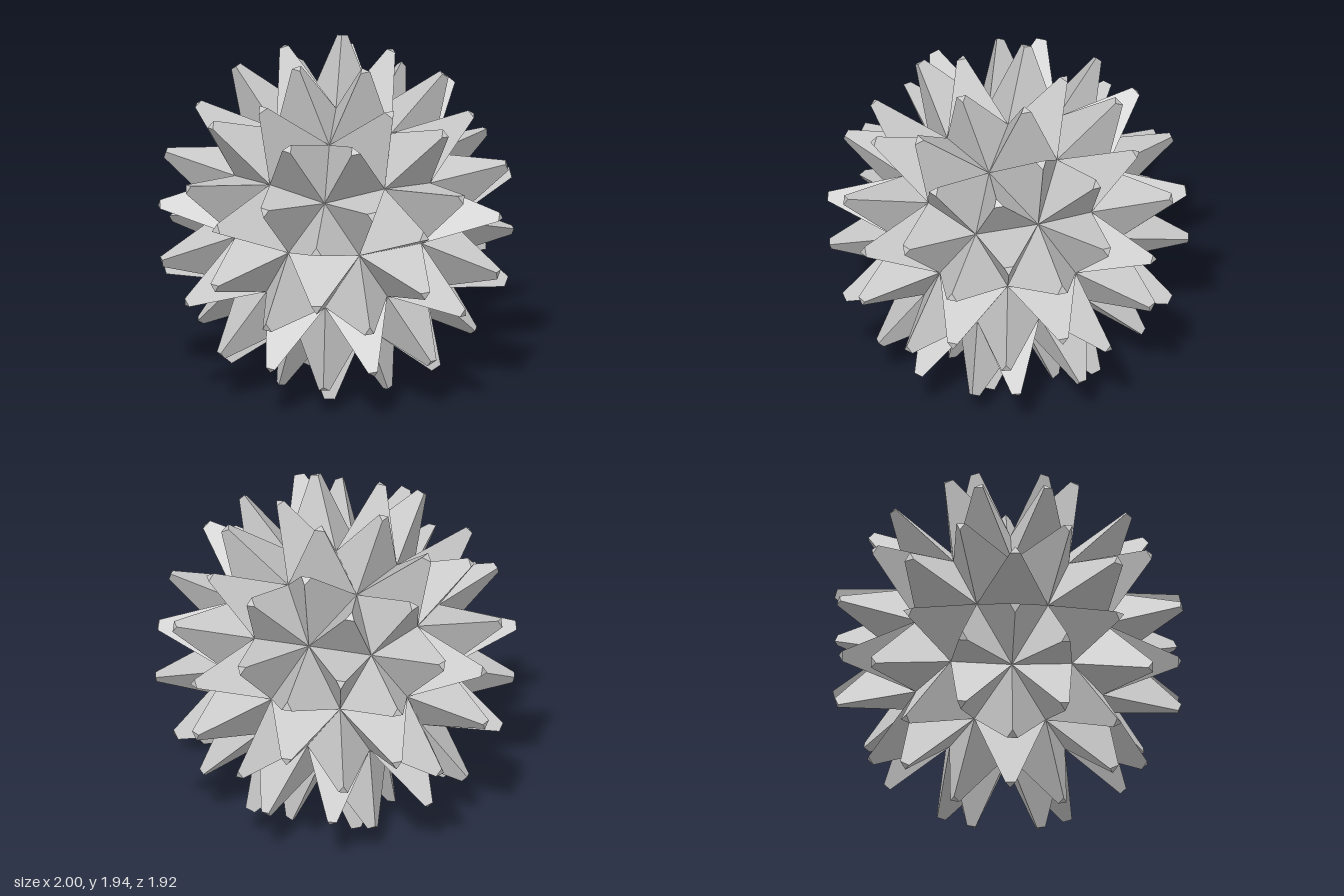
import * as THREE from 'three';

const R = 0.64;        // radius of the faceted core
const HEIGHT = 0.405;  // spike length along each face normal
const TIP = 0.15;      // tip size relative to the spike's base

// Icosahedron standing on a vertex, each face split in four
function coreGeometry() {
  const verts = [0, 1, 0];
  const ring = (lat, offset) => {
    for (let k = 0; k < 5; k++) {
      const a = (k + offset) * Math.PI * 2 / 5;
      verts.push(Math.cos(a) * 2 / Math.sqrt(5), lat, Math.sin(a) * 2 / Math.sqrt(5));
    }
  };
  ring(1 / Math.sqrt(5), 0);
  ring(-1 / Math.sqrt(5), 0.5);
  verts.push(0, -1, 0);

  const faces = [];
  for (let k = 0; k < 5; k++) {
    const n = (k + 1) % 5;
    const up = 1 + k, upNext = 1 + n, low = 6 + k, lowNext = 6 + n;
    faces.push(0, upNext, up, up, upNext, low, low, upNext, lowNext, low, lowNext, 11);
  }
  return new THREE.PolyhedronGeometry(verts, faces, R, 1);
}

// Truncated three-sided spike raised on triangle a, b, c
function addSpike(out, base) {
  const tri = new THREE.Triangle(...base);
  const centre = tri.getMidpoint(new THREE.Vector3());
  const lift = tri.getNormal(new THREE.Vector3()).multiplyScalar(HEIGHT);
  const tip = base.map((p) => centre.clone().lerp(p, TIP).add(lift));
  const push = (...points) => points.forEach((p) => out.push(p.x, p.y, p.z));
  for (let i = 0; i < 3; i++) {
    const j = (i + 1) % 3;
    push(base[i], base[j], tip[j], base[i], tip[j], tip[i]);
  }
  push(...tip);
}

export function createModel() {
  const group = new THREE.Group();
  group.name = 'spikyBall';

  // One spike on each of the 80 core faces
  const core = coreGeometry().getAttribute('position');
  const positions = [];
  for (let i = 0; i < core.count; i += 3) {
    addSpike(positions, [0, 1, 2].map((k) => new THREE.Vector3().fromBufferAttribute(core, i + k)));
  }
  const geometry = new THREE.BufferGeometry();
  geometry.setAttribute('position', new THREE.Float32BufferAttribute(positions, 3));
  geometry.computeVertexNormals();

  // Rest the lowest tips on the ground
  geometry.computeBoundingBox();
  geometry.translate(0, -geometry.boundingBox.min.y, 0);

  const spikes = new THREE.Mesh(geometry, new THREE.MeshStandardMaterial({ color: 0xcccccc, flatShading: true }));
  spikes.name = 'spikes';
  group.add(spikes);
  return group;
}
